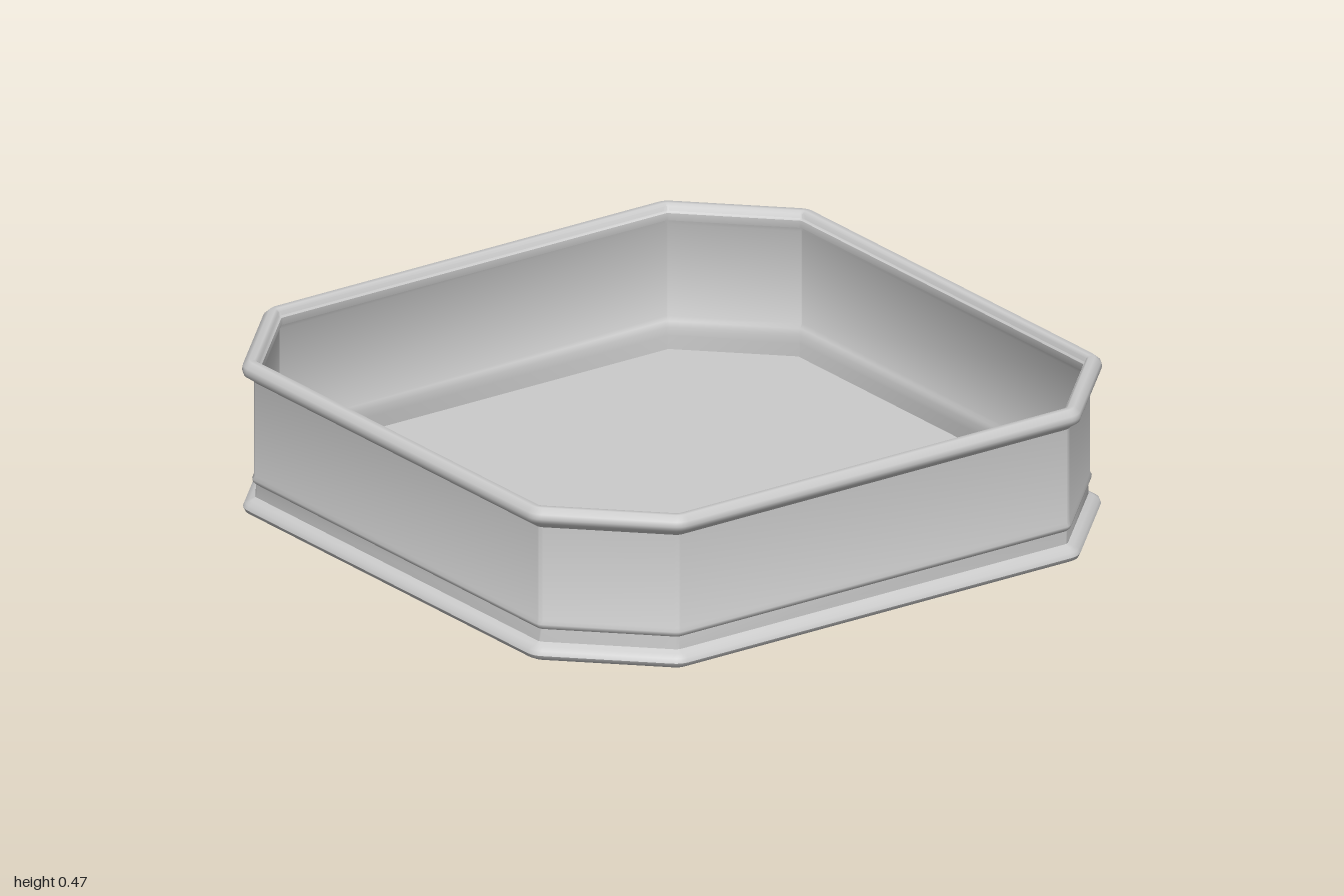
import * as THREE from 'three';
import { toCreasedNormals } from 'three/addons/utils/BufferGeometryUtils.js';

const material = new THREE.MeshStandardMaterial({ color: 0xcccccc, side: THREE.DoubleSide });

// Corners of a chamfered square in loop order, each with the angle of the side before it.
function octagon(half, cut) {
  const corners = [];
  for (let k = 0; k < 4; k++) {
    for (const [x, z, start] of [[half, cut, 0], [cut, half, Math.PI / 4]]) {
      const a = k * Math.PI / 2, c = Math.cos(a), s = Math.sin(a);
      corners.push({ x: x * c - z * s, z: x * s + z * c, start: start + a });
    }
  }
  return corners;
}

// Sweep a closed [offset, y] profile around the octagon, with rounded joins.
function sweep(profile, corners, steps = 4) {
  const positions = [], index = [];
  const n = profile.length, m = corners.length * (steps + 1);
  for (const { x, z, start } of corners) {
    for (let k = 0; k <= steps; k++) {
      const a = start + (k / steps) * Math.PI / 4;
      for (const [d, y] of profile) positions.push(x + Math.cos(a) * d, y, z + Math.sin(a) * d);
    }
  }
  for (let i = 0; i < m; i++) {
    for (let j = 0; j < n; j++) {
      const i2 = (i + 1) % m, j2 = (j + 1) % n;
      const a = i * n + j, b = i * n + j2, c = i2 * n + j2, d = i2 * n + j;
      index.push(a, b, d, b, c, d);
    }
  }
  const geometry = new THREE.BufferGeometry();
  geometry.setAttribute('position', new THREE.Float32BufferAttribute(positions, 3));
  geometry.setIndex(index);
  return toCreasedNormals(geometry, 0.75);
}

export function createModel() {
  const group = new THREE.Group();
  const add = (name, geometry) => {
    const mesh = new THREE.Mesh(geometry, material);
    mesh.name = name;
    group.add(mesh);
    return mesh;
  };

  // Side wall: flared foot, recessed neck, plain band, rolled rim, then the inside face with its ledge
  const profile = [
    [0.004, 0.005], [0.04, 0], [0.056, 0.008], [0.062, 0.02], [0.057, 0.033], [0.042, 0.042],
    [0.027, 0.05], [0.025, 0.088], [0.034, 0.096], [0.036, 0.105], [0.031, 0.115],
    [0.031, 0.4], [0.042, 0.41], [0.06, 0.422], [0.065, 0.436], [0.062, 0.45], [0.045, 0.465],
    [0.028, 0.465], [0.02, 0.458], [0.018, 0.445], [0.012, 0.44], [0.012, 0.418],
    [0.018, 0.405], [0.018, 0.125], [0.01, 0.112], [0.005, 0.095], [0.004, 0.07],
  ];
  add('sideWall', sweep(profile, octagon(0.935, 0.67)));

  // Floor panel, set just inside the wall with a narrow gap
  const shape = new THREE.Shape(octagon(0.931, 0.668).map(p => new THREE.Vector2(p.x, p.z)));
  const floor = new THREE.ExtrudeGeometry(shape, { depth: 0.025, bevelEnabled: false });
  floor.rotateX(-Math.PI / 2);
  add('floorPanel', floor).position.y = 0.008;

  return group;
}
